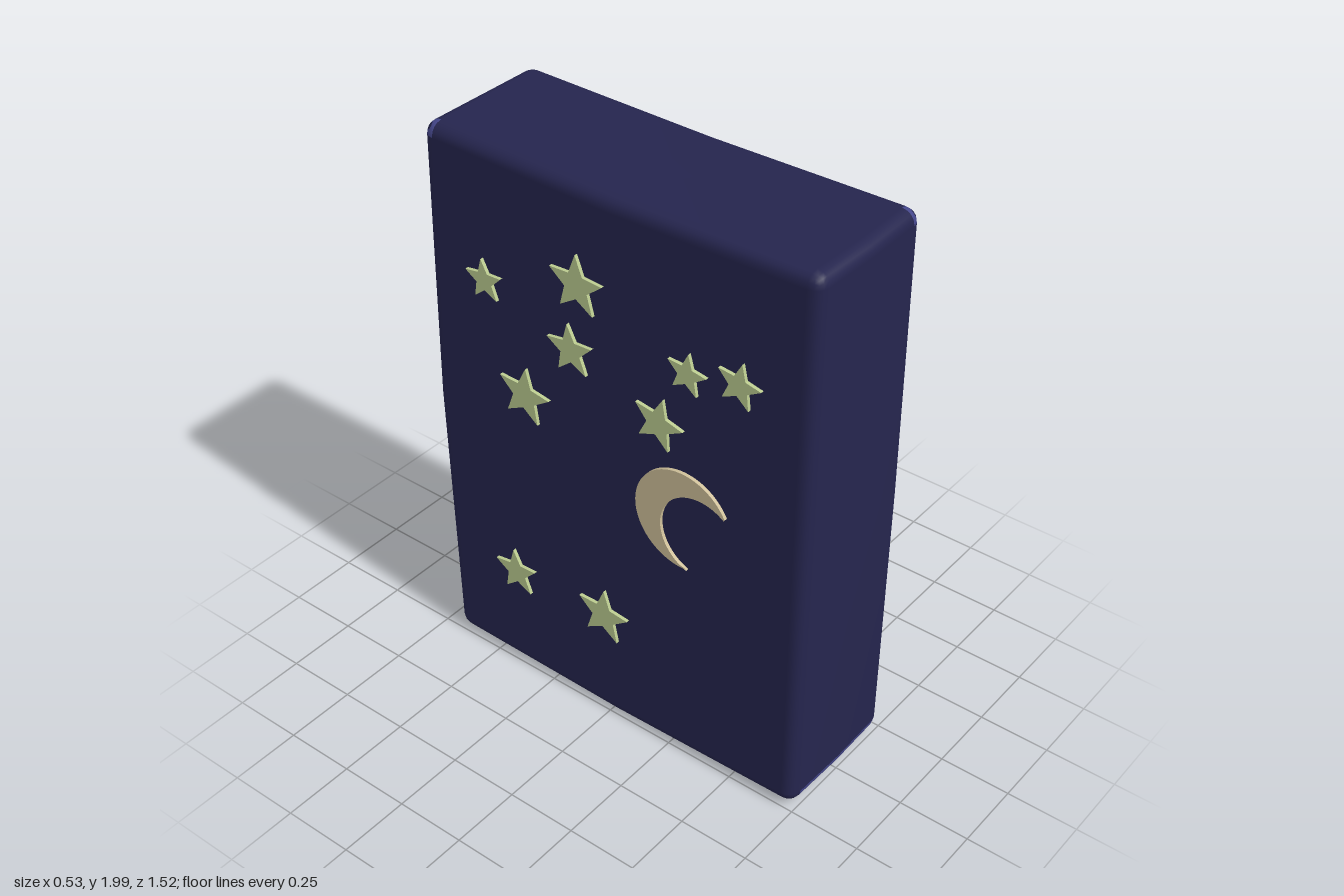
import * as THREE from 'three';
import { mergeVertices } from 'three/addons/utils/BufferGeometryUtils.js';

const mat = (name, color) => {
  const m = new THREE.MeshStandardMaterial({ color });
  m.name = name;
  return m;
};

// Box with rounded edges and slightly warped faces; a few bevels get the accent material
function bodyGeometry() {
  const h = [0.25, 0.99, 0.725], r = 0.045;
  const geo = new THREE.BoxGeometry(2, 2, 2, 6, 6, 6);
  geo.deleteAttribute('uv');
  geo.deleteAttribute('normal');
  const g = mergeVertices(geo);
  const p = g.attributes.position;

  // uniform grid lines become: edge, half bevel, bevel, middle
  const level = (v, half) => {
    const k = Math.round(Math.abs(v) * 3);
    return Math.sign(v) * [0, half - r, half - r / 2, half][k];
  };
  const flat = [];
  for (let i = 0; i < p.count; i++) {
    const a = new THREE.Vector3(level(p.getX(i), h[0]), level(p.getY(i), h[1]), level(p.getZ(i), h[2]));
    flat.push(a);
    const lim = new THREE.Vector3(h[0] - r, h[1] - r, h[2] - r);
    const core = a.clone().clamp(lim.clone().negate(), lim);
    const q = core.clone().add(a.clone().sub(core).setLength(r));
    // gentle bulges and dips towards the middle of each face
    const tx = 1 - Math.abs(q.x) / h[0], ty = 1 - Math.abs(q.y) / h[1], tz = 1 - Math.abs(q.z) / h[2];
    const out = q.clone();
    if (q.x > 0.2) out.x += 0.009 * Math.max(ty, tz * 0.6);
    if (q.y > 0.9) out.y -= 0.013 * tz;
    if (q.y < -0.9) out.y -= 0.014 * tz;
    if (q.z < -0.6) out.z -= 0.014 * ty - (q.y < 0 ? 0.012 * (1 - ty) : 0);
    if (q.z > 0.6) out.z += 0.006 * tx;
    p.setXYZ(i, out.x, out.y + 1.005, out.z + 0.024);
  }

  // sort triangles into main colour and accent
  const main = [], accent = [], idx = g.index.array;
  for (let i = 0; i < idx.length; i += 3) {
    const t = [idx[i], idx[i + 1], idx[i + 2]];
    const c = new THREE.Vector3();
    t.forEach((k) => c.add(flat[k]));
    c.divideScalar(3);
    const inX = Math.abs(c.x) > h[0] - r, inY = Math.abs(c.y) > h[1] - r, inZ = Math.abs(c.z) > h[2] - r;
    const strip = c.z > h[2] - 0.001 && c.y < -h[1] + r && c.y > -h[1] + r / 2 && !inX;
    const corner = inX && inY && inZ &&
      ((c.x > 0 && c.z > 0) || (c.x < 0 && c.z < 0 && c.y > 0));
    const inner = Math.min(h[0] - Math.abs(c.x) < r / 2, h[1] - Math.abs(c.y) < r / 2, h[2] - Math.abs(c.z) < r / 2);
    (strip || (corner && !inner) ? accent : main).push(...t);
  }
  g.setIndex([...main, ...accent]);
  g.clearGroups();
  g.addGroup(0, main.length, 0);
  g.addGroup(main.length, accent.length, 1);
  g.computeVertexNormals();
  return g;
}

const plate = (shape) => new THREE.ExtrudeGeometry(shape, { depth: 0.012, bevelEnabled: false, curveSegments: 24 });

// Five-pointed star; one point may be left out
function starGeometry(R, tilt, missing = -1) {
  const pts = [];
  for (let i = 0; i < 10; i++) {
    if (i === missing * 2) continue;
    const a = Math.PI / 2 + tilt + (i * Math.PI) / 5;
    const d = i % 2 ? R * 0.43 : R;
    pts.push(new THREE.Vector2(Math.cos(a) * d, Math.sin(a) * d));
  }
  return plate(new THREE.Shape(pts));
}

// Crescent from two arcs that meet at the horns
function moonGeometry(R) {
  const s = R / 0.13;
  const shape = new THREE.Shape();
  shape.absarc(0, 0, R, 0.48, 4.83, false);
  shape.absarc(0.048 * s, -0.03 * s, 0.108 * s, 4.39, 0.93, true);
  return plate(shape);
}

export function createModel() {
  const model = new THREE.Group();
  model.name = 'nightSkyBlock';
  const navy = mat('night navy', 0x25254e);
  const blue = mat('edge blue', 0x45478c);
  const green = mat('star pale green', 0xbccc90);
  const sand = mat('moon sand', 0xcfc09a);

  const body = new THREE.Mesh(bodyGeometry(), [navy, blue]);
  body.name = 'body';
  model.add(body);

  // Each side: across, height, radius, tilt, missing point (across runs to the viewer's right)
  const sides = [
    {
      name: 'leftSide', turn: Math.PI / 2, at: [0.248, 0, 0], moon: [0.235, 1.64, 0.13],
      stars: [
        [-0.585, 1.61, 0.045, 0.1], [-0.565, 1.115, 0.058, 0.2], [-0.265, 0.6, 0.054, -0.1],
        [-0.28, 0.415, 0.06, 0.15], [-0.1, 0.25, 0.112, 0], [0.245, 0.405, 0.056, -0.1],
        [0.235, 1.335, 0.113, 0.4, 1],
      ],
    },
    {
      name: 'rightSide', turn: -Math.PI / 2, at: [-0.257, 0, 0], moon: [0.31, 0.98, 0.18],
      stars: [
        [-0.385, 0.42, 0.09, 0.1], [-0.01, 0.43, 0.105, -0.05], [-0.315, 1.17, 0.105, -0.1],
        [-0.12, 1.42, 0.092, 0.1], [-0.09, 1.66, 0.105, 0], [-0.46, 1.535, 0.075, 0.1],
        [0.32, 1.52, 0.074, -0.1], [0.215, 1.3, 0.095, -0.2], [0.505, 1.56, 0.08, -0.15],
      ],
    },
    {
      name: 'backSide', turn: Math.PI, at: [0, 0, -0.749],
      stars: [[-0.025, 1.42, 0.1, 0.15], [0, 1.16, 0.064, 0.1], [0.045, 0.72, 0.1, 0.2]],
    },
  ];

  for (const { name, turn, at, moon, stars } of sides) {
    const side = new THREE.Group();
    side.name = name;
    side.position.set(...at);
    side.rotation.y = turn;
    for (const [x, y, R, tilt, missing] of stars) {
      const star = new THREE.Mesh(starGeometry(R, tilt, missing), green);
      star.name = 'star';
      star.position.set(x, y, 0);
      side.add(star);
    }
    if (moon) {
      const crescent = new THREE.Mesh(moonGeometry(moon[2]), sand);
      crescent.name = 'moon';
      crescent.position.set(moon[0], moon[1], 0);
      side.add(crescent);
    }
    model.add(side);
  }
  return model;
}
